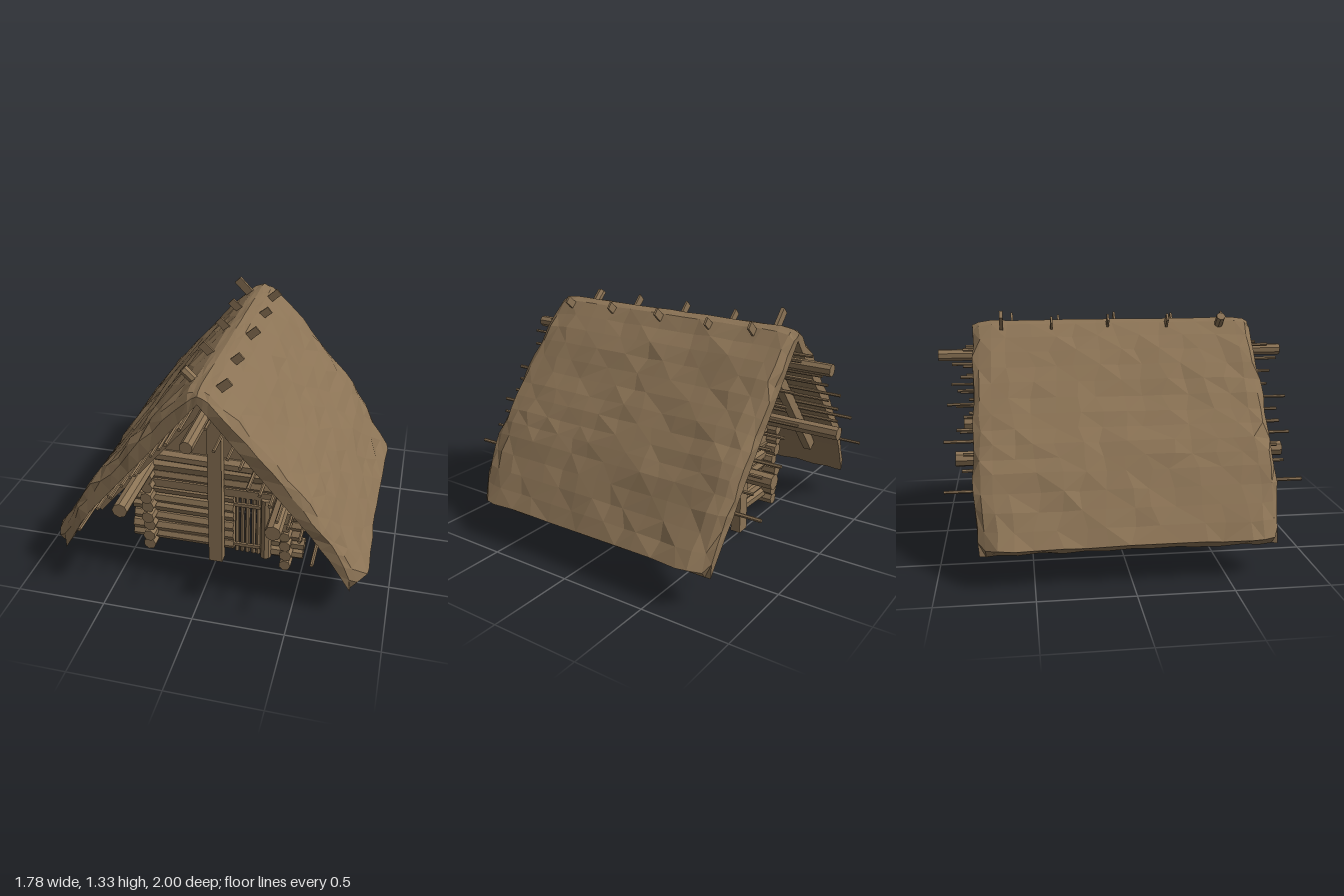
import * as THREE from 'three';

export function createModel() {
  const model = new THREE.Group();
  const wood = new THREE.MeshStandardMaterial({ color: 0x8b7355, flatShading: true, side: THREE.DoubleSide });
  wood.name = 'weathered brown';

  let seed = 7;
  const rand = (a) => {
    seed = (seed * 16807) % 2147483647;
    return (seed / 2147483647 - 0.5) * 2 * a;
  };
  const V = (x, y, z) => new THREE.Vector3(x, y, z);

  const add = (name, geometry) => {
    const mesh = new THREE.Mesh(geometry, wood);
    mesh.name = name;
    model.add(mesh);
    return mesh;
  };
  const span = (mesh, a, b) => {
    mesh.position.copy(a).add(b).multiplyScalar(0.5);
    mesh.quaternion.setFromUnitVectors(V(0, 1, 0), b.clone().sub(a).normalize());
    return mesh;
  };
  // Tapered, slightly irregular round log from a to b
  const log = (name, a, b, r, sides = 7, wobble = 0.1) => {
    const g = new THREE.CylinderGeometry(r * (1 + rand(wobble)), r * (1 + rand(wobble)), a.distanceTo(b), sides);
    g.rotateY(rand(3));
    return span(add(name, g), a, b);
  };
  // Squared timber from a to b, w wide and d deep
  const beam = (name, a, b, w, d) =>
    span(add(name, new THREE.BoxGeometry(w, a.distanceTo(b), d)), a, b);

  // Side wall logs, with the long top plates carrying the roof
  for (const s of [-1, 1]) {
    for (let i = 0; i < 8; i++) {
      const y = 0.04 + i * 0.067;
      log('sideWallLog', V(s * 0.405 + rand(0.006), y, -0.505 + rand(0.015)),
        V(s * 0.405 + rand(0.006), y, 0.5 + rand(0.012)), 0.036, 7, 0.12);
    }
    log('topPlate', V(s * 0.405, 0.565, -0.9), V(s * 0.405, 0.565, 0.9), 0.042, 8, 0.03);
  }

  // Front and back wall logs, the front ones cut for the doorway
  for (let i = 0; i < 6; i++) {
    const y = 0.075 + i * 0.066;
    const end = () => 0.505 + rand(0.018);
    const r = 0.038;
    log('backWallLog', V(-end(), y + rand(0.006), -0.41), V(end(), y + rand(0.006), -0.41), r);
    log('frontWallLog', V(-end(), y + rand(0.006), 0.41), V(0.09, y + rand(0.006), 0.41), r);
    log('frontWallLog', V(0.305, y, 0.41), V(end() - 0.01, y, 0.41), r);
  }
  for (const s of [-1, 1]) {
    beam('lintel', V(-0.52, 0.45, s * 0.41), V(0.5, 0.45, s * 0.41), 0.05, 0.07);
    log('upperWallLog', V(-0.44, 0.505, s * 0.41), V(0.44, 0.505, s * 0.41), 0.042);
    log('upperWallLog', V(-0.42, 0.565, s * 0.41), V(0.42, 0.565, s * 0.41), 0.042);
    log('tieBeam', V(-0.38, 0.632, s * 0.42), V(0.38, 0.615, s * 0.42), 0.036);

    // Gable board, open at the top as a smoke vent
    const gable = new THREE.Shape([[-0.39, 0.57], [0.39, 0.57], [0.37, 0.64], [0.14, 0.915], [-0.14, 0.915], [-0.37, 0.64]]
      .map(([x, y]) => new THREE.Vector2(x, y)));
    add('gableBoard', new THREE.ExtrudeGeometry(gable, { depth: 0.02, bevelEnabled: false })).position.z = s * 0.4 - 0.01;

    // Ridge post and rafter pair
    beam('ridgePost', V(0, 0, s * 0.48), V(0, 1.06, s * 0.48), 0.08, 0.06);
    for (const m of [-1, 1]) {
      beam('rafter', V(-m * 0.015, 1.142, s * 0.59 + m * 0.012), V(m * 0.665, 0.342, s * 0.59 + m * 0.012), 0.062, 0.05);
    }
  }
  log('ridgePole', V(0, 1.065, -1), V(0, 1.065, 1), 0.034, 8, 0.02);

  // Stick door with its post
  for (let i = 0; i < 5; i++) {
    const x = 0.112 + i * 0.031;
    log('doorStick', V(x + rand(0.003), 0.045, 0.43), V(x + rand(0.003), 0.43 + rand(0.012), 0.43), 0.0135, 6);
  }
  for (const y of [0.1, 0.38]) beam('doorRail', V(0.1, y, 0.446), V(0.25, y, 0.446), 0.02, 0.015);
  log('doorPost', V(0.282, 0.04, 0.44), V(0.282, 0.44, 0.44), 0.031, 8);

  // Thin battens under the thatch
  [0.06, 0.12, 0.175, 0.23, 0.285, 0.335, 0.385, 0.43, 0.48, 0.54, 0.615].forEach((x, i) => {
    for (const s of [-1, 1]) {
      const y = 1.174 - 1.178 * x;
      const long = i % 3 === 1 || i === 10 ? 0.93 : 0.88;
      log('batten', V(s * x, y, -long + rand(0.03)), V(s * x, y, long + rand(0.03)), 0.0095, 6);
    }
  });

  // Thatch: matching outer and inner half-profiles from ridge to eave
  const outer = [[0, 1.26], [0.055, 1.243], [0.2, 1.112], [0.33, 0.962], [0.455, 0.815], [0.57, 0.68], [0.665, 0.552], [0.77, 0.378], [0.875, 0.215]];
  const inner = [[0, 1.19], [0.05, 1.13], [0.15, 1.011], [0.26, 0.881], [0.38, 0.74], [0.49, 0.611], [0.59, 0.493], [0.68, 0.368], [0.8, 0.156]];
  const refine = (p) => p.flatMap(([x, y], i) =>
    i === p.length - 1 ? [[x, y]] : [[x, y], [(x + p[i + 1][0]) / 2, (y + p[i + 1][1]) / 2]]);
  const full = (p) => [...p.slice(1).reverse().map(([x, y]) => [-x, y]), ...p];
  const top = full(refine(outer));
  const under = full(refine(inner));
  const n = top.length;
  const rows = [-0.8, -0.765, -0.7, -0.6, -0.48, -0.36, -0.24, -0.12, 0, 0.12, 0.24, 0.36, 0.48, 0.6, 0.7, 0.765, 0.8];
  // Eave offset by distance from the gable ends: rounded corners, then a slight flare
  const flare = [-0.05, -0.025, 0, 0.012];
  const positions = [];
  const index = [];
  rows.forEach((z, k) => {
    const edge = Math.min(k, rows.length - 1 - k);
    const pinch = [0.35, 0.1, 0][edge] ?? 0;
    const loop = [];
    top.forEach(([x, y], i) => {
      const [ux, uy] = under[i];
      const nearEave = Math.max(0, Math.abs(x) - 0.7) / 0.175;
      const rough = rand(0.01) * (Math.abs(x) > 0.06 ? 1 : 0.4);
      const corner = edge < 3 ? 1 - 0.03 * nearEave : 1;
      loop.push([
        x + (ux - x) * pinch + Math.sign(x) * (0.77 * rough + nearEave * (flare[edge] ?? 0)),
        y + (uy - y) * pinch + 0.64 * rough + nearEave * (edge === 0 ? 0.05 : 0),
        z * corner + rand(edge < 3 ? 0.007 : 0.025)]);
    });
    for (let i = n - 1; i >= 0; i--) {
      const [x, y] = under[i];
      const nearEave = Math.max(0, Math.abs(x) - 0.65) / 0.15;
      loop.push([x, y + nearEave * Math.abs(rand(0.015)), z * (1 - 0.03 * nearEave)]);
    }
    loop.forEach((p) => positions.push(...p));
  });
  const m = 2 * n;
  for (let k = 0; k < rows.length - 1; k++) {
    for (let i = 0; i < m; i++) {
      const a = k * m + i, b = k * m + (i + 1) % m, c = a + m, d = b + m;
      if ((i + k) % 2) index.push(a, c, b, b, c, d);
      else index.push(a, c, d, a, d, b);
    }
  }
  // Close both gable ends of the thatch
  for (const [base, front] of [[0, false], [(rows.length - 1) * m, true]]) {
    for (let i = 0; i < n - 1; i++) {
      const a = base + i, b = a + 1, c = base + m - 1 - i, d = c - 1;
      if (front) index.push(a, c, b, b, c, d);
      else index.push(a, b, c, b, d, c);
    }
  }
  const thatch = new THREE.BufferGeometry();
  thatch.setAttribute('position', new THREE.Float32BufferAttribute(positions, 3));
  thatch.setIndex(index);
  thatch.computeVertexNormals();
  add('thatchRoof', thatch);

  // Flat pegs crossing through the ridge, alternating sides
  [-0.36, -0.04, 0.3].forEach((z) =>
    beam('ridgePeg', V(0.02, 1.15, z), V(-0.12 + rand(0.01), 1.28 + rand(0.01), z), 0.045, 0.012));
  [-0.58, -0.31, 0.02, 0.36, 0.67].forEach((z) =>
    beam('ridgePeg', V(-0.02, 1.14, z), V(0.125 + rand(0.01), 1.265 + rand(0.01), z), 0.045, 0.012));
  beam('ridgePeg', V(0, 1.16, -0.64), V(-0.145, 1.31, -0.64), 0.05, 0.02);
  log('ridgePeg', V(0, 1.16, 0.61), V(-0.125, 1.28, 0.61), 0.024, 7);

  return model;
}
